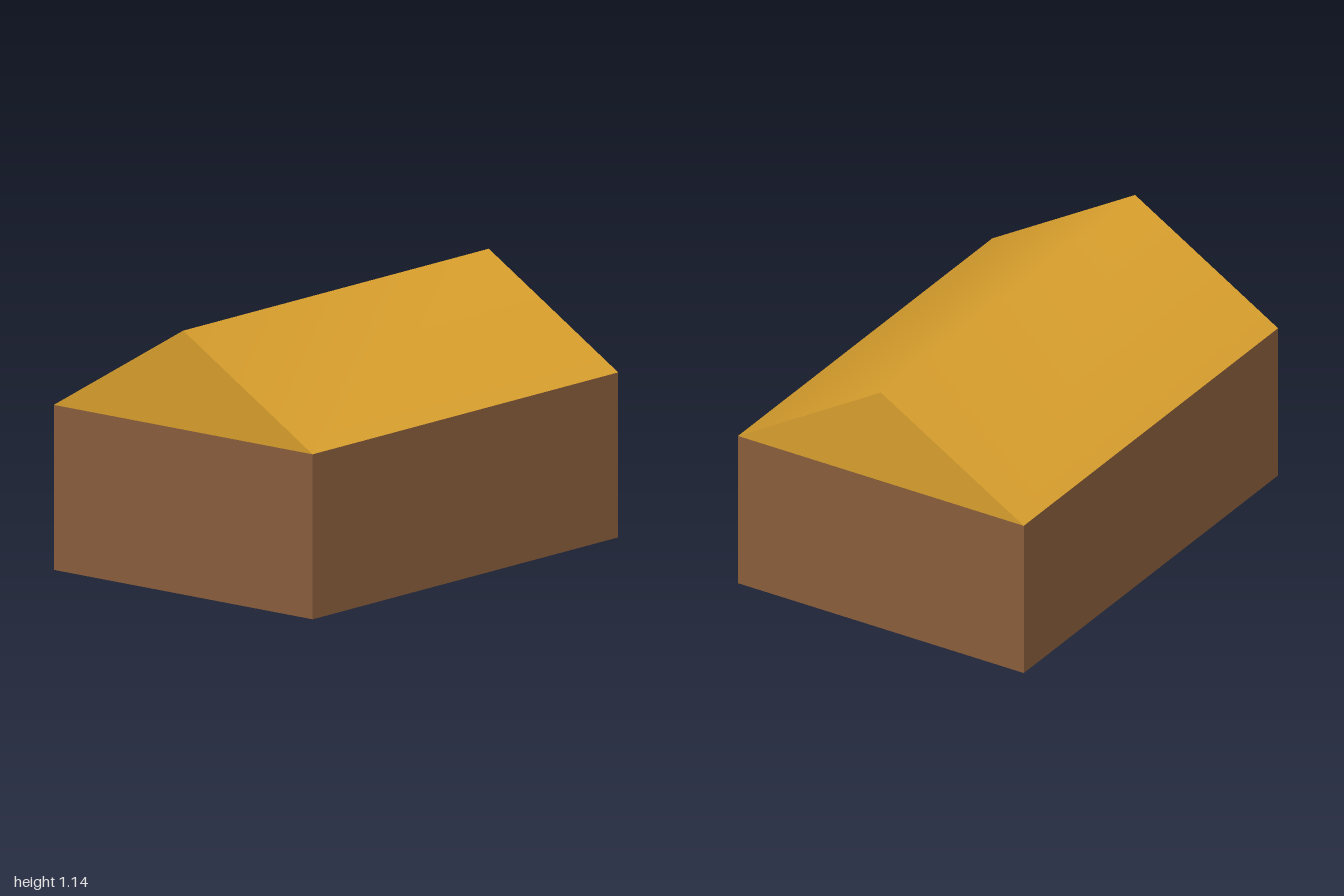
import * as THREE from 'three';

const LENGTH = 2, DEPTH = 1.43, EAVE = 0.715, RIDGE = 1.144;

export function createModel() {
  const group = new THREE.Group();
  const wallMat = new THREE.MeshStandardMaterial({ color: 0x8b5e3c, side: THREE.DoubleSide });
  const roofMat = new THREE.MeshStandardMaterial({ color: 0xdaa02d, side: THREE.DoubleSide });

  const add = (name, geometry, material) => {
    const mesh = new THREE.Mesh(geometry, material);
    mesh.name = name;
    group.add(mesh);
  };

  // Thin outer walls, open below and above
  const wall = (name, width, distance, angle) => add(name,
    new THREE.PlaneGeometry(width, EAVE).translate(0, EAVE / 2, distance).rotateY(angle), wallMat);
  wall('frontWall', LENGTH, DEPTH / 2, 0);
  wall('leftWall', DEPTH, LENGTH / 2, Math.PI / 2);
  wall('backWall', LENGTH, DEPTH / 2, Math.PI);
  wall('rightWall', DEPTH, LENGTH / 2, -Math.PI / 2);

  // Triangular gable above each end wall
  const triangle = new THREE.Shape([
    new THREE.Vector2(-DEPTH / 2, EAVE),
    new THREE.Vector2(DEPTH / 2, EAVE),
    new THREE.Vector2(0, RIDGE),
  ]);
  for (const [name, side] of [['leftGable', 1], ['rightGable', -1]]) {
    add(name, new THREE.ShapeGeometry(triangle)
      .translate(0, 0, LENGTH / 2).rotateY(side * Math.PI / 2), roofMat);
  }

  // Roof sheet folded up along its middle row, shaded smoothly over the ridge
  const roof = new THREE.PlaneGeometry(LENGTH, DEPTH, 1, 2).rotateX(-Math.PI / 2);
  const p = roof.attributes.position;
  for (let i = 0; i < p.count; i++) {
    const t = Math.abs(p.getZ(i)) / (DEPTH / 2);
    p.setY(i, RIDGE + (EAVE - RIDGE) * t);
  }
  roof.computeVertexNormals();
  add('roof', roof, roofMat);

  return group;
}
